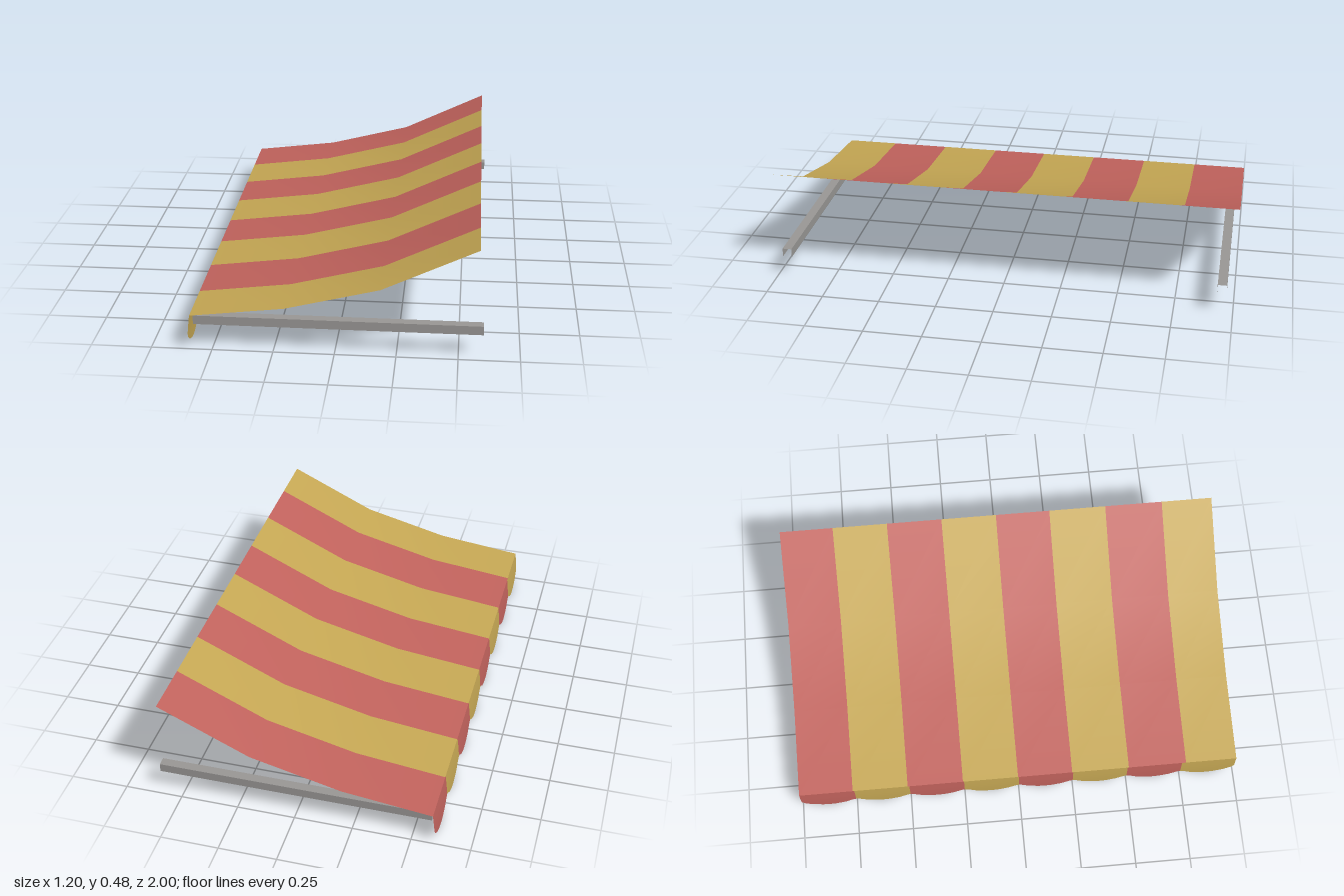
import * as THREE from 'three';

const red = new THREE.MeshStandardMaterial({ name: 'red canvas', color: 0xc0625c, side: THREE.DoubleSide });
const yellow = new THREE.MeshStandardMaterial({ name: 'yellow canvas', color: 0xc4a653, side: THREE.DoubleSide });
const metal = new THREE.MeshStandardMaterial({ name: 'grey metal', color: 0x989694, side: THREE.DoubleSide });

// Sheet of rows x cols quads, with point(row, col) giving [x, y, z]
function sheet(rows, cols, point) {
  const pos = [], idx = [];
  for (let i = 0; i <= rows; i++) {
    for (let j = 0; j <= cols; j++) {
      pos.push(...point(i, j));
      if (i === rows || j === cols) continue;
      const a = i * (cols + 1) + j, c = a + cols + 1;
      idx.push(a, c, a + 1, a + 1, c, c + 1);
    }
  }
  const g = new THREE.BufferGeometry();
  g.setAttribute('position', new THREE.Float32BufferAttribute(pos, 3));
  g.setIndex(idx);
  g.computeVertexNormals();
  return g;
}

export function createModel() {
  const model = new THREE.Group();
  model.name = 'awning';
  const add = (name, geometry, material) => {
    const mesh = new THREE.Mesh(geometry, material);
    mesh.name = name;
    model.add(mesh);
    return mesh;
  };

  // Sagging canopy profile, from the wall edge down to the outer edge
  const sag = [[0.575, 0.48], [0.185, 0.295], [-0.203, 0.197], [-0.588, 0.15]];
  const edges = [-1, -0.757, -0.507, -0.255, -0.003, 0.245, 0.505, 0.768, 1];
  // Outline of one scallop: [fraction of width, height of the hem]
  const hem = [[0, 0.05], [0.06, 0.045], [0.2, 0.02], [0.38, 0.003], [0.5, 0], [0.62, 0.003],
    [0.8, 0.02], [0.94, 0.045], [1, 0.05]];

  for (let s = 0; s < 8; s++) {
    const material = s % 2 ? yellow : red;
    const z0 = edges[s], z1 = edges[s + 1];
    add('canopyStripe', sheet(3, 1, (i, j) => [...sag[i], j ? z1 : z0]), material);

    // Scalloped flap hanging from the outer edge, bowed slightly outwards
    const v0 = -1 + s * 0.25;
    add('valanceScallop', sheet(3, hem.length - 1, (i, j) => {
      const [f, h] = hem[j];
      const outer = (s === 0 && j === 0) || (s === 7 && j === hem.length - 1);
      const low = outer ? 0.068 : h;
      const y = 0.15 + (low - 0.15) * (i / 3);
      const drop = (0.15 - y) / 0.15;
      return [-0.588 - 0.012 * Math.sin(drop * Math.PI / 2), y, v0 + 0.25 * f];
    }), material);
  }

  // Open channel arms: a top plate and two side walls
  const L = 1.18, H = 0.038, W = 0.04;
  for (const side of [-1, 1]) {
    const arm = new THREE.Group();
    arm.name = side > 0 ? 'frontArm' : 'backArm';
    arm.position.set(0.01, 0.098, side * 0.95);
    const top = new THREE.Mesh(new THREE.PlaneGeometry(L, W).rotateX(-Math.PI / 2), metal);
    top.name = 'armTop';
    top.position.y = H;
    arm.add(top);
    for (const face of [-1, 1]) {
      const wall = new THREE.Mesh(new THREE.PlaneGeometry(L, H), metal);
      wall.name = 'armWall';
      wall.position.set(0, H / 2, face * W / 2);
      if (face < 0) wall.rotation.y = Math.PI;
      arm.add(wall);
    }
    model.add(arm);
  }
  return model;
}
